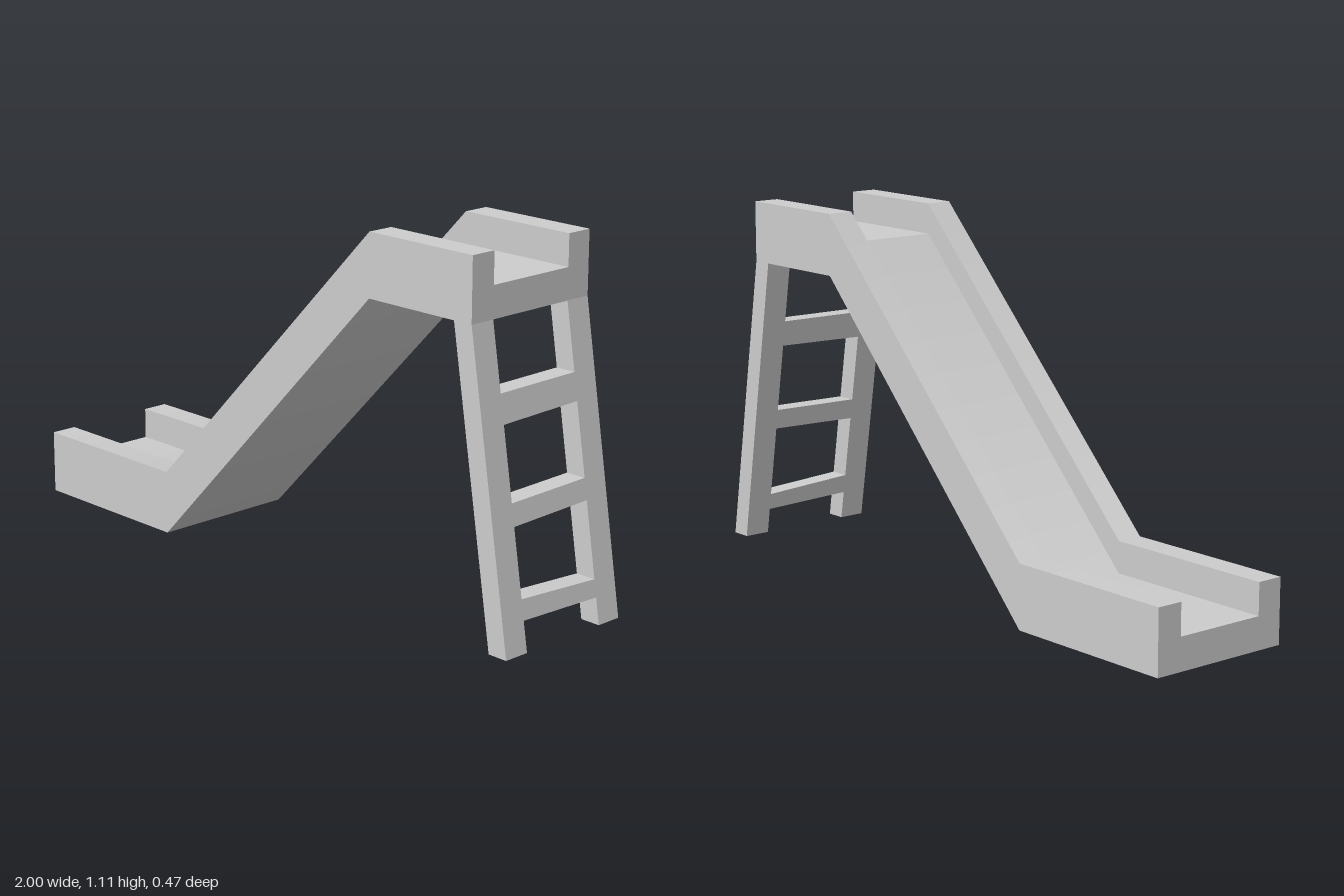
import * as THREE from 'three';

const BEND = -0.43; // foot of the ramp
const grey = new THREE.MeshStandardMaterial({ color: 0xcccccc });
grey.name = 'plain grey';

// Extrude an x-y profile between two depths, shading the lower bend softly
function slab(name, points, z0, z1) {
  const shape = new THREE.Shape(points.map(([x, y]) => new THREE.Vector2(x, y)));
  const geo = new THREE.ExtrudeGeometry(shape, { depth: z1 - z0, bevelEnabled: false });
  geo.translate(0, 0, z0);
  const pos = geo.attributes.position, nor = geo.attributes.normal;
  const soft = new THREE.Vector3(-0.38, 0.92, 0).normalize();
  for (let i = 0; i < pos.count; i++) {
    if (Math.abs(pos.getX(i) - BEND) < 0.001 && Math.abs(nor.getZ(i)) < 0.5) {
      const s = Math.sign(nor.getY(i));
      nor.setXYZ(i, soft.x * s, soft.y * s, 0);
    }
  }
  const mesh = new THREE.Mesh(geo, grey);
  mesh.name = name;
  return mesh;
}

// Outer x of the sloping ladder at height y
const ladderX = (y) => 0.85 + 0.15 * (1 - y / 0.915);

// Slightly crooked rung between the legs, flush with their faces
function rung(leftLow, leftHigh, rightLow, rightHigh) {
  const geo = new THREE.BoxGeometry(1, 1, 0.3);
  const pos = geo.attributes.position;
  for (let i = 0; i < pos.count; i++) {
    const top = pos.getY(i) > 0, left = pos.getZ(i) > 0;
    const y = left ? (top ? leftHigh : leftLow) : (top ? rightHigh : rightLow);
    pos.setXYZ(i, ladderX(y) - (pos.getX(i) < 0 ? 0.065 : 0), y, pos.getZ(i));
  }
  geo.computeVertexNormals();
  const mesh = new THREE.Mesh(geo, grey);
  mesh.name = 'rung';
  return mesh;
}

export function createModel() {
  const model = new THREE.Group();
  model.name = 'slide';

  // Side walls, each continuing down into a ladder leg
  const side = [[-1, 0], [BEND, 0], [0.46, 0.915], [0.785, 0.915], [0.935, 0], [1, 0],
    [0.85, 0.915], [0.85, 1.105], [0.46, 1.105], [BEND, 0.198], [-1, 0.198]];
  model.add(slab('frontSideWall', side, 0.15, 0.234));
  model.add(slab('backSideWall', side, -0.234, -0.15));

  // Sunken sliding bed with the platform at the top
  model.add(slab('slideBed', [[-1, 0], [BEND, 0], [0.46, 0.915], [0.85, 0.915],
    [0.85, 1.01], [0.46, 1.01], [BEND, 0.1], [-1, 0.1]], -0.15, 0.15));

  // Ladder rungs
  const rungs = new THREE.Group();
  rungs.name = 'ladderRungs';
  rungs.add(rung(0.09, 0.15, 0.08, 0.132), rung(0.35, 0.415, 0.357, 0.42),
    rung(0.63, 0.715, 0.636, 0.717));
  model.add(rungs);

  return model;
}
